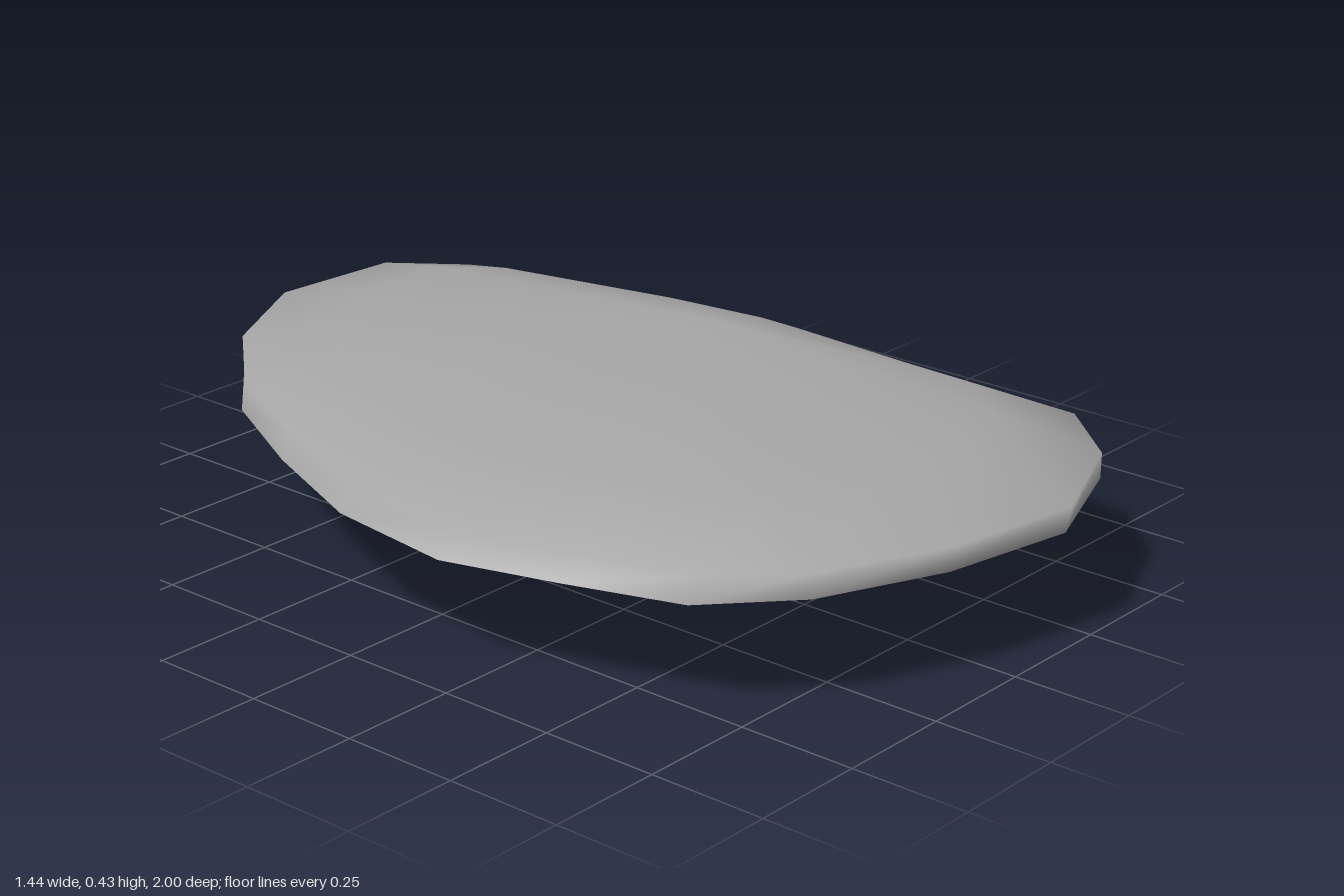
import * as THREE from 'three';
import { mergeVertices } from 'three/addons/utils/BufferGeometryUtils.js';

// Plan outline as [x, z], running from the back round the left side to the front
const OUTLINE = [
  [0.05, -1], [0.36, -0.98], [0.48, -0.83], [0.6, -0.3], [0.64, 0], [0.615, 0.35],
  [0.6, 0.73], [0.45, 0.89], [0.17, 1], [-0.13, 0.95], [-0.4, 0.84], [-0.57, 0.69],
  [-0.65, 0.45], [-0.72, 0.21], [-0.68, -0.09], [-0.56, -0.38], [-0.42, -0.65], [-0.22, -0.86],
];

// One level of the shell: the outline scaled and shifted, at a height that may tilt with x
function level(y, sx, sz, dx = 0, dz = 0, tilt = 0) {
  return OUTLINE.map(([x, z]) => [x * sx + dx, y + tilt * x, z * sz + dz]);
}

// Smooth skin over levels listed from bottom to top
function skin(levels) {
  const n = OUTLINE.length;
  const index = [];
  for (let k = 0; k < levels.length - 1; k++) {
    for (let i = 0; i < n; i++) {
      const j = (i + 1) % n;
      const a = k * n + i, b = k * n + j, c = a + n, d = b + n;
      index.push(b, a, c, b, c, d);
    }
  }
  const geometry = new THREE.BufferGeometry();
  geometry.setAttribute('position', new THREE.Float32BufferAttribute(levels.flat(2), 3));
  geometry.setIndex(index);
  const merged = mergeVertices(geometry, 1e-4);
  merged.computeVertexNormals();
  return merged;
}

export function createModel() {
  const group = new THREE.Group();
  group.name = 'stone';
  const stone = new THREE.MeshStandardMaterial({ color: 0xa6a6a6 });
  stone.name = 'stone grey';

  const rim = level(0.235, 1, 0.983, 0, 0, -0.014);

  // Low domed top rising to an off-centre peak
  const top = new THREE.Mesh(skin([
    rim,
    level(0.293, 0.95, 1),
    level(0.355, 0.706, 0.755, 0.02, 0.005),
    level(0.43, 0, 0, 0.225, 0.06),
  ]), stone);
  top.name = 'domedTop';

  // Underside sloping down to a small foot on the left edge
  const underside = new THREE.Mesh(skin([
    level(0, 0, 0, 0.64, 0.045),
    level(0.003, 0.125, 0.115, 0.64, 0.045),
    level(0.17, 0.64, 0.5, 0.28, 0.03),
    rim,
  ]), stone);
  underside.name = 'slopingUnderside';

  group.add(top, underside);
  return group;
}
